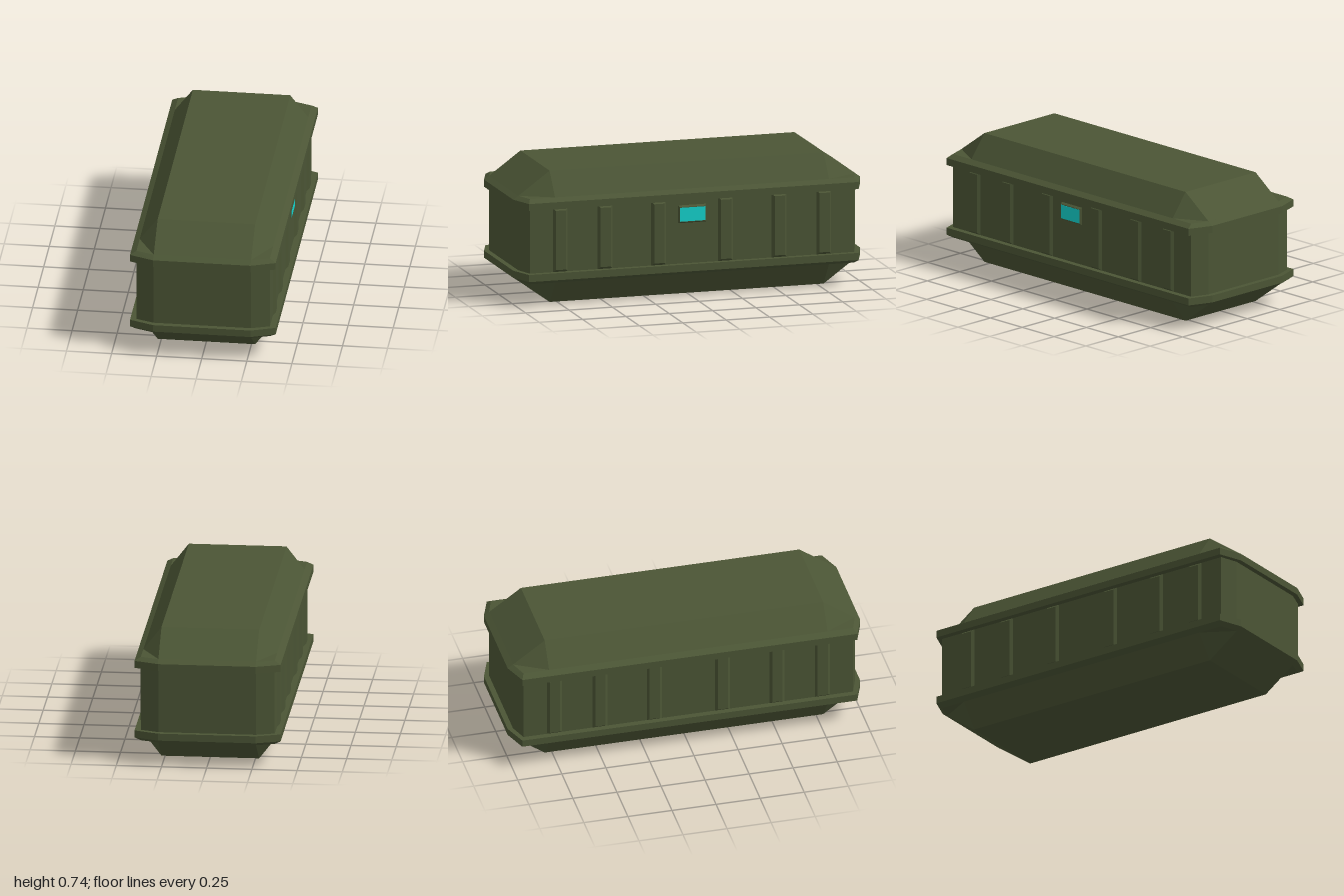
import * as THREE from 'three';
import { ConvexGeometry } from 'three/addons/geometries/ConvexGeometry.js';

const HEIGHT = 0.74;
const olive = new THREE.MeshStandardMaterial({ color: 0x4b5535, flatShading: true });
const cyan = new THREE.MeshStandardMaterial({ color: 0x14d2cc, flatShading: true });

// Four mirrored points at height y
const corners = (x, z, y) =>
  [[1, 1], [1, -1], [-1, 1], [-1, -1]].map(([sx, sz]) => new THREE.Vector3(sx * x, y, sz * z));

// Eight-sided outline: side corner (x, zSide) and end corner (0.27, zEnd)
const outline = (x, zSide, zEnd, y) => [...corners(x, zSide, y), ...corners(0.27, zEnd, y)];
const rimRing = (y) => outline(0.404, 0.95, 1.0, y);
const bodyRing = (y) => outline(0.37, 0.935, 0.97, y);

function hull(name, points, parent, material = olive) {
  const mesh = new THREE.Mesh(new ConvexGeometry(points), material);
  mesh.name = name;
  parent.add(mesh);
  return mesh;
}

// Raised block with sloped edges, growing along +x from the wall
function raisedBlock(name, width, height, depth, bevel, parent) {
  const points = [];
  for (const [x, b] of [[-0.01, 0], [0, 0], [depth, bevel]])
    for (const sy of [-1, 1])
      for (const sz of [-1, 1])
        points.push(new THREE.Vector3(x, sy * (height / 2 - b), sz * (width / 2 - b)));
  return hull(name, points, parent);
}

// Rim with a bevelled top edge, carrying a sloped roof with cut corners
function createLid(name) {
  const lid = new THREE.Group();
  lid.name = name;
  hull('rim', [...rimRing(0.55), ...rimRing(0.59), ...bodyRing(0.61)], lid);
  hull('slopedCap', [...outline(0.37, 0.79, 0.97, 0.61), ...corners(0.27, 0.79, HEIGHT)], lid);
  return lid;
}

export function createModel() {
  const model = new THREE.Group();
  model.name = 'container';

  hull('body', [...bodyRing(0.17), ...bodyRing(0.57)], model);

  // The base is the lid turned upside down
  const base = createLid('base');
  base.rotation.z = Math.PI;
  base.position.y = HEIGHT;
  model.add(createLid('lid'), base);

  // Upright ribs along both long sides
  for (const side of [1, -1]) {
    const ribs = new THREE.Group();
    ribs.name = side > 0 ? 'leftRibs' : 'rightRibs';
    if (side < 0) ribs.rotation.y = Math.PI;
    for (const z of [-0.76, -0.502, -0.193, 0.193, 0.502, 0.76])
      raisedBlock('rib', 0.085, 0.36, 0.015, 0.013, ribs).position.set(0.37, 0.37, z);
    model.add(ribs);
  }

  // Glowing display on the left side
  raisedBlock('displayFrame', 0.16, 0.1, 0.014, 0.008, model).position.set(0.37, 0.468, 0);
  const display = new THREE.Mesh(new THREE.BoxGeometry(0.004, 0.078, 0.146), cyan);
  display.name = 'display';
  display.position.set(0.383, 0.468, 0);
  model.add(display);

  return model;
}
